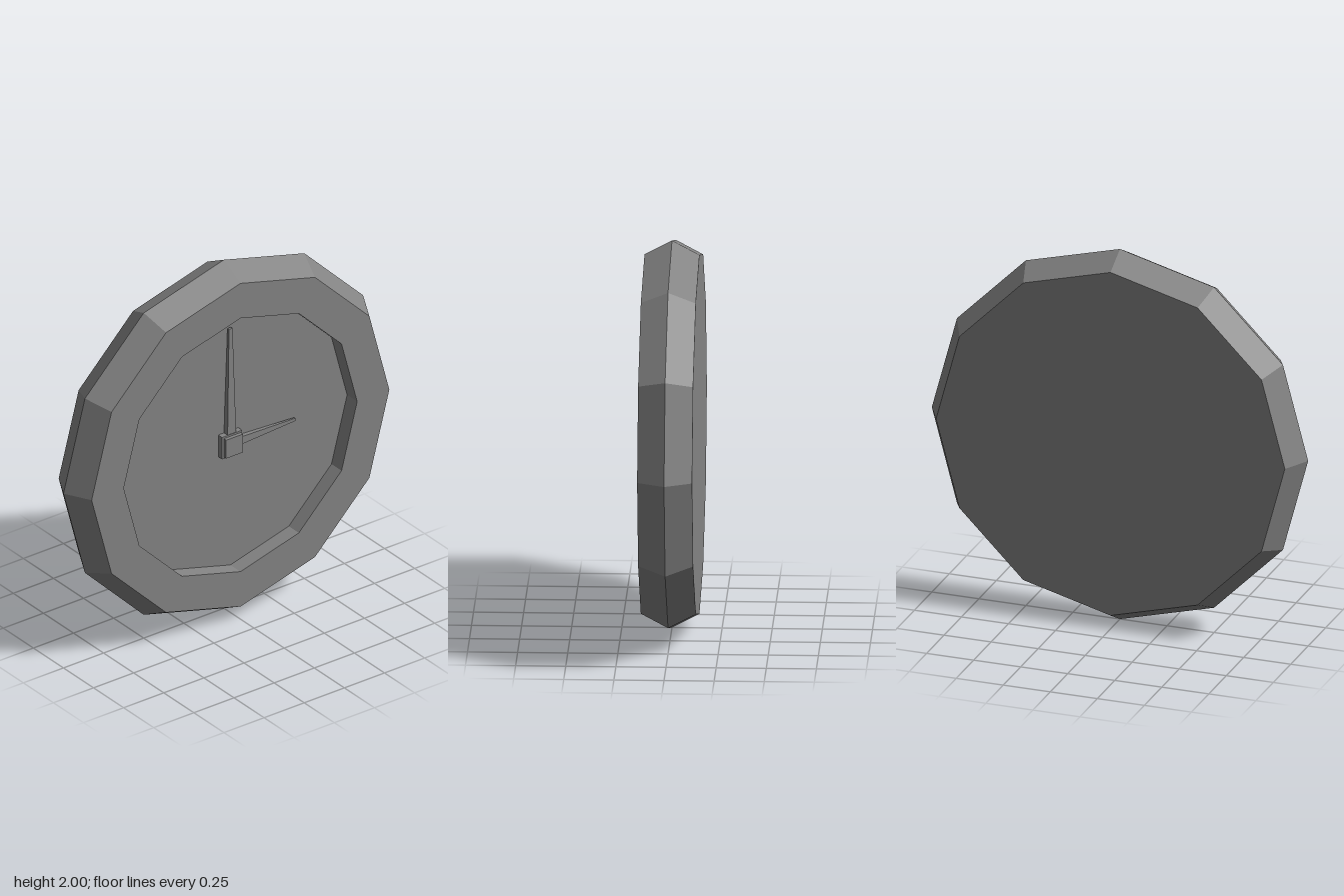
import * as THREE from 'three';

const material = new THREE.MeshStandardMaterial({ color: 0x848484, flatShading: true });

// Square tapered block standing along +y from y = 0; widths are full side lengths
function taperedBlock(baseWidth, endWidth, length) {
  const geometry = new THREE.CylinderGeometry(endWidth * Math.SQRT1_2, baseWidth * Math.SQRT1_2, length, 4);
  return geometry.rotateY(Math.PI / 4).translate(0, length / 2, 0);
}

function addMesh(parent, name, geometry) {
  const mesh = new THREE.Mesh(geometry, material);
  mesh.name = name;
  parent.add(mesh);
  return mesh;
}

export function createModel() {
  const clock = new THREE.Group();
  clock.name = 'wallClock';

  // Twelve-sided case with a ridged rim and a recessed dial
  const profile = [
    [0, -0.137], [0.927, -0.137], [1, 0], [0.927, 0.137],
    [0.727, 0.137], [0.727, 0.053], [0, 0.053],
  ].map(([r, z]) => new THREE.Vector2(r, z));
  const caseBody = addMesh(clock, 'caseAndDial', new THREE.LatheGeometry(profile, 12).rotateX(Math.PI / 2));
  caseBody.position.y = 1;

  // Hands and hub share a slightly off-centre pivot
  const movement = new THREE.Group();
  movement.name = 'movement';
  movement.position.set(-0.013, 0.982, 0);
  clock.add(movement);

  // Square hub: a base plate with a slightly smaller cap
  addMesh(movement, 'hubPlate', new THREE.BoxGeometry(0.125, 0.125, 0.035)).position.z = 0.068;
  addMesh(movement, 'hubCap', new THREE.BoxGeometry(0.105, 0.105, 0.025)).position.z = 0.093;

  // Tapering hands, flattened front to back
  const hands = [
    ['minuteHand', 0.056, 0.022, 0.66, 0],
    ['hourHand', 0.048, 0.016, 0.403, -Math.PI / 2],
  ];
  for (const [name, base, tip, length, angle] of hands) {
    const hand = addMesh(movement, name, taperedBlock(base, tip, length).scale(1, 1, 0.6));
    hand.position.z = 0.067;
    hand.rotation.z = angle;
  }

  return clock;
}
